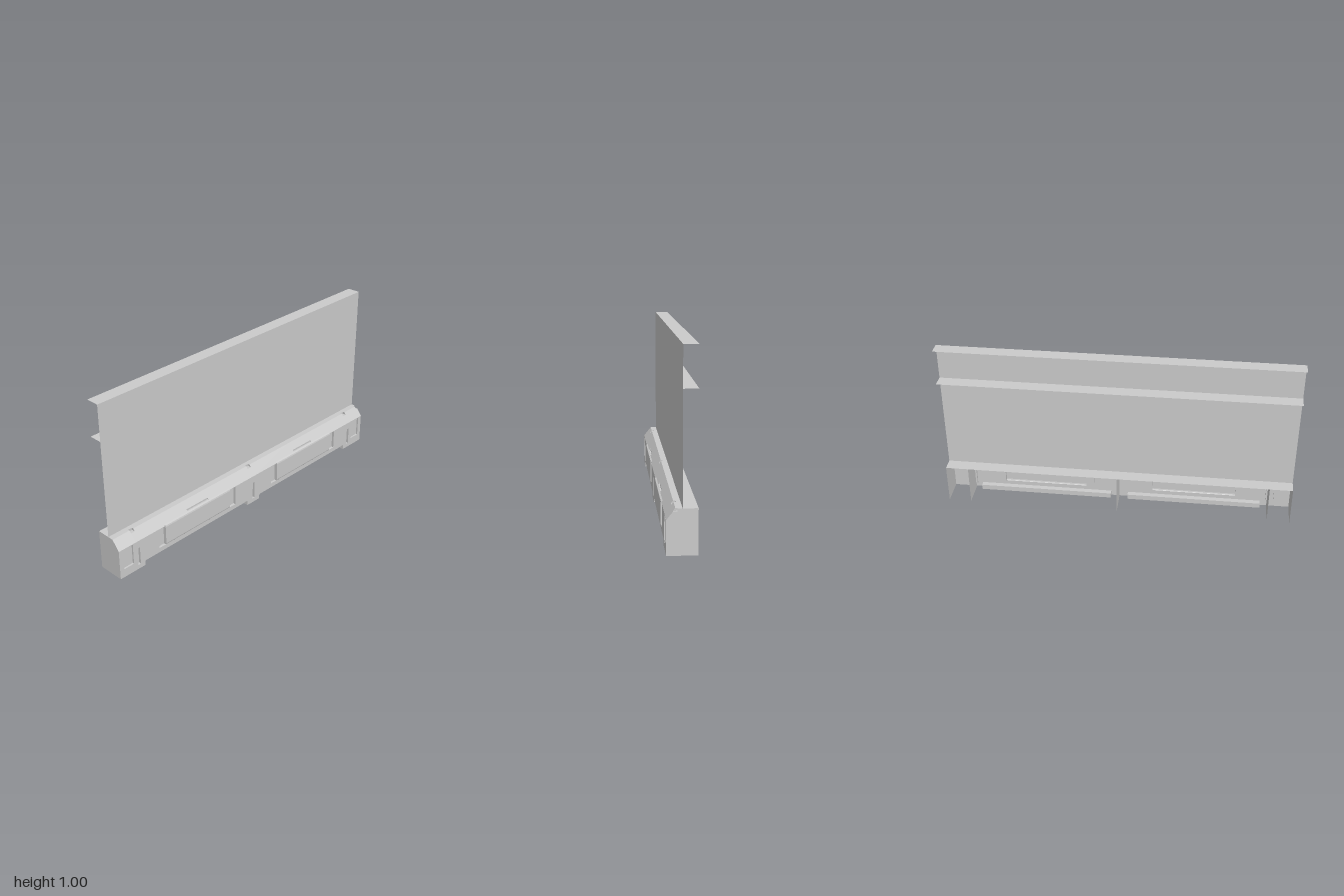
import * as THREE from 'three';

const BACK = -0.079, FACE = 0.074, BULGE = 0.079, POCKET = 0.06, WALL = -0.004;
const TOP = 0.23, EDGE = 0.175, SHELF = 0.03;       // shelf height, slope foot, shelf front
const slopeZ = y => SHELF + (FACE - SHELF) * (TOP - y) / (TOP - EDGE);
const mat = new THREE.MeshStandardMaterial({ color: 0xcccccc, side: THREE.DoubleSide });

// collects quads into a flat-shaded sheet-metal mesh
function sheet(name, quads) {
  const pos = [];
  for (const [a, b, c, d] of quads) pos.push(...a, ...b, ...c, ...a, ...c, ...d);
  const g = new THREE.BufferGeometry();
  g.setAttribute('position', new THREE.Float32BufferAttribute(pos, 3));
  g.computeVertexNormals();
  const m = new THREE.Mesh(g, mat);
  m.name = name;
  return m;
}

const flatY = (x0, x1, y, z0, z1) => [[x0, y, z1], [x1, y, z1], [x1, y, z0], [x0, y, z0]];
const flatZ = (x0, x1, y0, y1, z) => [[x0, y0, z], [x1, y0, z], [x1, y1, z], [x0, y1, z]];
const flatX = (x, y0, y1, z0, z1) => [[x, y0, z1], [x, y0, z0], [x, y1, z0], [x, y1, z1]];

const path = (pts, Type = THREE.Shape) => new Type(pts.map(p => new THREE.Vector2(...p)));
const rect = (x0, x1, y0, y1) => [[x0, y0], [x0, y1], [x1, y1], [x1, y0]];

// rim and floor of a pocket pressed into the front face
function pocketQuads(x0, x1, y0, y1, z) {
  return [flatZ(x0, x1, y0, y1, z), flatX(x0, y0, y1, z, FACE), flatX(x1, y0, y1, z, FACE),
    flatY(x0, x1, y0, z, FACE), flatY(x0, x1, y1, z, FACE)];
}

// upright plate across the base, outline given as (z, y)
function plate(name, x, pts) {
  const g = new THREE.ShapeGeometry(path(pts.map(([z, y]) => [-z, y])));
  g.rotateY(Math.PI / 2);
  const m = new THREE.Mesh(g, mat);
  m.position.x = x;
  m.name = name;
  return m;
}

export function createModel() {
  const root = new THREE.Group();

  // tall backing wall with two stiffening flanges
  root.add(sheet('wallPanel', [flatZ(-1, 1, TOP, 1, WALL)]));
  root.add(sheet('topFlange', [flatY(-1, 1, 1, BACK, WALL)]));
  root.add(sheet('middleFlange', [flatY(-1, 1, 0.795, BACK, WALL)]));

  // base shelf and sloped shoulder, interrupted by notches and grooves
  const cuts = [-0.875, 0, 0.87].map(x => [x - 0.013, x + 0.013, 0.216, TOP]);
  cuts.push([0.987, 1, 0.216, TOP]);
  for (const x of [-0.435, 0.435]) cuts.push([x - 0.08, x + 0.08, 0.183, 0.192]);
  cuts.sort((a, b) => a[0] - b[0]);
  const shelf = [], slope = [], notches = [];
  const slopeQuad = (x0, x1, y0, y1) =>
    [[x0, y0, slopeZ(y0)], [x1, y0, slopeZ(y0)], [x1, y1, slopeZ(y1)], [x0, y1, slopeZ(y1)]];
  let x = -1;
  for (const [x0, x1, lo, hi] of [...cuts, [1, 1, 0, 0]]) {
    if (x0 > x) {
      shelf.push(flatY(x, x0, TOP, BACK, SHELF));
      slope.push(slopeQuad(x, x0, EDGE, TOP));
    }
    if (x1 > x0) {
      const atTop = hi === TOP, zb = atTop ? 0.02 : slopeZ(hi);
      shelf.push(flatY(x0, x1, TOP, BACK, atTop ? zb : SHELF));
      slope.push(slopeQuad(x0, x1, EDGE, lo));
      if (!atTop) slope.push(slopeQuad(x0, x1, hi, TOP));
      notches.push(flatY(x0, x1, lo, zb, slopeZ(lo)), flatZ(x0, x1, lo, hi, zb));
      for (const e of [x0, x1]) {
        if (e < 1) notches.push([[e, lo, zb], [e, lo, slopeZ(lo)], [e, hi, slopeZ(hi)], [e, hi, zb]]);
      }
    }
    x = x1;
  }
  root.add(sheet('baseShelf', shelf), sheet('slopedShoulder', slope), sheet('shoulderNotches', notches));

  // front face with openings for the pockets and a raised lower edge
  const face = path([[-1, 0], [-0.83, 0], [-0.83, 0.03], [-0.05, 0.03], [-0.05, 0], [0.05, 0],
    [0.05, 0.03], [0.83, 0.03], [0.83, 0], [1, 0], [1, EDGE], [-1, EDGE]]);
  const pockets = [];
  for (const s of [-0.94, 0.94]) pockets.push([s - 0.033, s + 0.033, 0.05, 0.172, 0.064]);
  for (const s of [-0.87, 0, 0.87]) pockets.push([s - 0.009, s + 0.009, 0.025, 0.132, POCKET]);
  for (const s of [-0.44, 0.44]) pockets.push([s - 0.29, s + 0.29, 0.055, 0.173, POCKET]);
  for (const [x0, x1, y0, y1] of pockets) face.holes.push(path(rect(x0, x1, y0, y1), THREE.Path));
  const front = new THREE.Mesh(new THREE.ShapeGeometry(face), mat);
  front.name = 'frontFace';
  front.position.z = FACE;
  root.add(front);
  root.add(sheet('facePockets', pockets.slice(0, 5).flatMap(p => pocketQuads(...p))));

  // long raised panels, each set between two narrow pockets
  for (const s of [-0.44, 0.44]) {
    const x0 = s - 0.243, x1 = s + 0.243, o0 = s - 0.29, o1 = s + 0.29;
    const prof = [[0.055, FACE], [0.058, 0.077], [0.065, BULGE], [0.17, BULGE],
      [0.178, 0.077], [0.182, slopeZ(0.182)]];
    const skin = prof.slice(1).map(([y, z], i) =>
      [[x0, prof[i][0], prof[i][1]], [x1, prof[i][0], prof[i][1]], [x1, y, z], [x0, y, z]]);
    root.add(sheet('raisedPanel', skin));
    for (const e of [x0, x1]) {
      root.add(plate('raisedPanelEnd', e,
        [[POCKET, 0.055], ...prof.map(([y, z]) => [z, y]), [POCKET, 0.182]]));
    }
    root.add(sheet('panelSidePockets', [[o0, x0, o0], [x1, o1, o1]].flatMap(([a, b, e]) => [
      flatZ(a, b, 0.055, 0.173, POCKET), flatX(e, 0.055, 0.173, POCKET, FACE),
      flatY(a, b, 0.055, POCKET, FACE), flatY(a, b, 0.173, POCKET, FACE)])));
  }

  // set-back kick strips under the raised lower edge
  for (const [a, b] of [[-0.83, -0.05], [0.05, 0.83]]) {
    root.add(sheet('kickStrip', [flatY(a, b, 0.03, 0.045, FACE), flatZ(a, b, 0, 0.03, 0.045),
      flatX(a, 0, 0.03, 0.045, FACE), flatX(b, 0, 0.03, 0.045, FACE)]));
  }

  // end plates and inner ribs, the ribs stepping back around the slits
  const notchTop = [[slopeZ(0.216), 0.216], [0.02, 0.216], [0.02, TOP]];
  root.add(plate('rightEnd', -1, [[BACK, 0], [FACE, 0], [FACE, EDGE], [SHELF, TOP], [BACK, TOP]]));
  root.add(plate('leftEnd', 1, [[BACK, 0], [FACE, 0], [FACE, EDGE], ...notchTop, [BACK, TOP]]));
  for (const r of [-0.87, 0, 0.87]) {
    root.add(plate('innerRib', r, [[BACK, 0], [FACE, 0], [FACE, 0.025], [POCKET, 0.025],
      [POCKET, 0.132], [FACE, 0.132], [FACE, EDGE], ...notchTop, [BACK, TOP]]));
  }
  return root;
}
